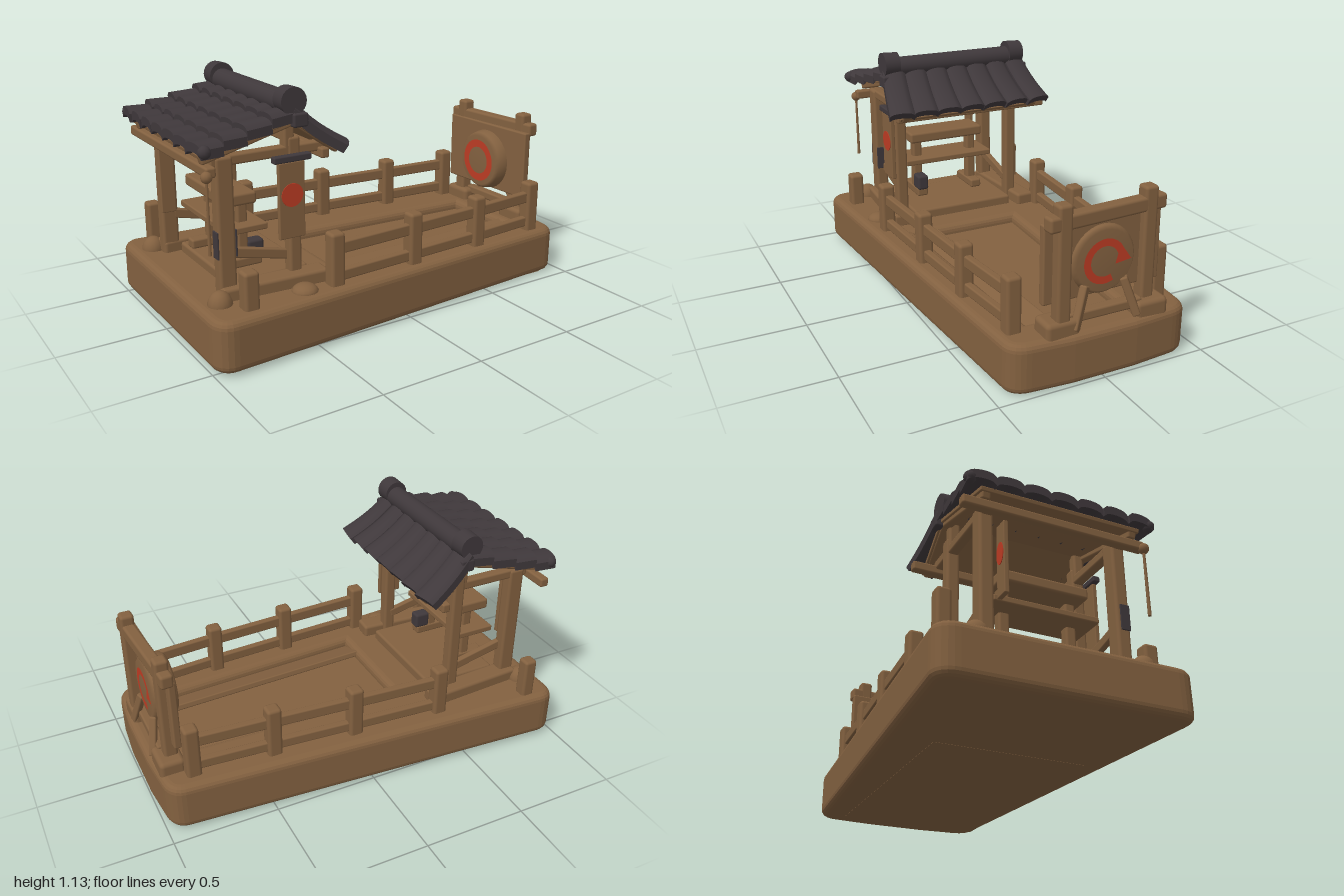
import * as THREE from 'three';
import { RoundedBoxGeometry } from 'three/addons/geometries/RoundedBoxGeometry.js';

export function createModel() {
  const group = new THREE.Group();
  const mat = (name, color) => {
    const m = new THREE.MeshStandardMaterial({ color });
    m.name = name;
    return m;
  };
  const wood = mat('wood', 0x836140);
  const slate = mat('slate', 0x3f383b);
  const red = mat('redPaint', 0xbd3c24);
  red.side = THREE.DoubleSide;

  const add = (name, geo, m, x = 0, y = 0, z = 0) => {
    const mesh = new THREE.Mesh(geo, m);
    mesh.name = name;
    mesh.position.set(x, y, z);
    group.add(mesh);
    return mesh;
  };
  const box = (name, m, w, h, d, x, y, z) =>
    add(name, new RoundedBoxGeometry(w, h, d, 2, Math.min(w, h, d) * 0.22), m, x, y, z);
  // Lay a mesh whose length runs along its z axis between two points
  const span = (mesh, a, b) => {
    const q = new THREE.Vector3(...b);
    mesh.position.set(...a).add(q).multiplyScalar(0.5);
    mesh.lookAt(q);
    return mesh;
  };
  const dist = (a, b) => new THREE.Vector3(...a).distanceTo(new THREE.Vector3(...b));
  const beam = (name, m, a, b, w, h) => span(box(name, m, w, h, dist(a, b), 0, 0, 0), a, b);

  // Tapered base slab with a sunken deck
  const bev = 0.035;
  const outline = new THREE.Shape();
  outline.moveTo(-0.91, -0.54);
  outline.lineTo(0.9, -0.405);
  outline.quadraticCurveTo(0.945, -0.40, 0.95, -0.34);
  outline.lineTo(0.965, -0.15);
  outline.lineTo(0.965, 0.15);
  outline.lineTo(0.95, 0.34);
  outline.quadraticCurveTo(0.945, 0.40, 0.9, 0.405);
  outline.lineTo(-0.91, 0.54);
  outline.quadraticCurveTo(-0.965, 0.545, -0.965, 0.48);
  outline.lineTo(-0.965, -0.48);
  outline.quadraticCurveTo(-0.965, -0.545, -0.91, -0.54);
  const well = new THREE.Path();
  [[-0.3, -0.37], [-0.3, 0.25], [0.84, 0.21], [0.84, -0.31]].forEach(([x, y], i) =>
    i ? well.lineTo(x, y) : well.moveTo(x, y));
  well.closePath();
  outline.holes.push(well);
  const slab = new THREE.ExtrudeGeometry(outline, {
    depth: 0.232 - 2 * bev, bevelEnabled: true, bevelSize: bev, bevelThickness: bev, bevelSegments: 4, curveSegments: 6,
  });
  slab.rotateX(-Math.PI / 2);
  add('base', slab, wood, 0, 0.012 + bev, 0).rotation.z = -0.007;
  const deck = add('deckFloor', new THREE.BoxGeometry(1.24, 0.186, 0.74), wood, 0.27, 0.102, 0.05);
  deck.rotation.z = -0.007;
  beam('deckSlope', wood, [-0.3, 0.2, 0.29], [0.84, 0.195, 0.24], 0.17, 0.03).rotateZ(0.3);

  // Side railings with square posts
  const rows = { front: [0.45, 0.425, 0.4, 0.365], back: [-0.43, -0.40, -0.37, -0.345] };
  const postX = [-0.38, 0.06, 0.46, 0.84];
  for (const [side, zs] of Object.entries(rows)) {
    zs.forEach((z, i) => {
      box(side + 'RailPost', wood, 0.07, 0.28, 0.07, postX[i], 0.35, z);
      if (i < 3) for (const [y, h] of [[0.412, 0.055], [0.283, 0.05]])
        beam(side + 'Rail', wood, [postX[i], y, z], [postX[i + 1], y, zs[i + 1]], 0.035, h);
    });
  }
  box('frontCornerStub', wood, 0.07, 0.2, 0.07, -0.81, 0.315, 0.475);
  box('backCornerStub', wood, 0.065, 0.23, 0.065, -0.85, 0.33, -0.5);

  // Rounded stones on the rim
  for (const [x, z, r, flat] of [[-0.9, 0.38, 0.055, 1.2], [-0.9, -0.38, 0.055, 1.2], [-0.53, 0.445, 0.06, 0.6]])
    add('stone', new THREE.SphereGeometry(r, 14, 10), wood, x, 0.245, z).scale.y = flat;

  // Shelter posts, sills, braces and gable rafters
  for (const s of [-1, 1]) {
    box('shelterRearPost', wood, 0.08, 0.64, 0.065, -0.84, 0.55, s * 0.318);
    box('shelterFrontPost', wood, 0.06, 0.68, 0.06, -0.515, 0.57, s * 0.318);
    beam('shelterSill', wood, [-0.88, 0.27, s * 0.33], [-0.38, 0.27, s * 0.36], 0.1, 0.07);
    beam('shelterTieBeam', wood, [-0.9, 0.85, s * 0.318], [-0.36, 0.85, s * 0.318], 0.05, 0.045);
    beam('sideBrace', wood, [-0.82, 0.44, s * 0.3], [-0.52, 0.37, s * 0.3], 0.03, 0.045);
    beam('rearRafter', wood, [-0.95, 0.875, s * 0.35], [-0.53, 0.985, s * 0.35], 0.04, 0.045);
    beam('frontRafter', wood, [-0.53, 0.99, s * 0.35], [-0.31, 0.835, s * 0.35], 0.04, 0.045);
    box('kingPost', wood, 0.05, 0.15, 0.05, -0.535, 0.92, s * 0.318);
  }
  beam('rearPurlin', wood, [-0.925, 0.83, -0.455], [-0.925, 0.83, 0.41], 0.045, 0.045);
  beam('frontPurlin', wood, [-0.38, 0.825, -0.45], [-0.38, 0.825, 0.38], 0.04, 0.045);
  add('ropeKnot', new THREE.SphereGeometry(0.025, 10, 8), wood, -0.945, 0.815, 0.405);
  add('rope', new THREE.CylinderGeometry(0.006, 0.008, 0.33, 8), wood, -0.945, 0.65, 0.405);

  // Platform and small bench inside the shelter
  box('platform', wood, 0.38, 0.06, 0.56, -0.61, 0.265, 0);
  box('benchTop', wood, 0.16, 0.055, 0.42, -0.71, 0.625, 0);
  for (const s of [-1, 1]) {
    box('benchLeg', wood, 0.05, 0.32, 0.05, -0.69, 0.46, s * 0.16);
    box('benchFoot', wood, 0.2, 0.045, 0.06, -0.7, 0.325, s * 0.16);
  }
  box('benchShelf', wood, 0.2, 0.03, 0.5, -0.7, 0.5, 0);
  box('darkCloth', slate, 0.08, 0.08, 0.06, -0.63, 0.38, 0.16);
  for (const x of [-0.882, -0.798]) box('postCloth', slate, 0.008, 0.12, 0.045, x, 0.49, 0.325);

  // Hanging banners with red discs: a wide one in front, a narrow one at the rear
  const banner = (x, z, s, w) => {
    box('banner', wood, w, 0.34, 0.022, x, 0.64, z);
    const disc = add('bannerDisc', new THREE.CylinderGeometry(0.052, 0.052, 0.006, 28), red, x, 0.665, z + s * 0.011);
    disc.rotation.x = Math.PI / 2;
    disc.scale.x = w / 0.125;
  };
  banner(-0.545, 0.365, 1, 0.125);
  banner(-0.865, -0.24, -1, 0.07);
  box('bannerRod', slate, 0.18, 0.03, 0.035, -0.54, 0.825, 0.365);

  // Bulged roof tile that widens from w0 to w1 and sags in the middle
  const tile = (name, a, b, w0, w1, sag) => {
    const len = dist(a, b);
    const geo = new THREE.BoxGeometry(1, 0.04, len, 8, 1, 8);
    const p = geo.attributes.position;
    for (let i = 0; i < p.count; i++) {
      const u = p.getX(i), t = p.getZ(i) / len + 0.5;
      p.setX(i, u * (w0 + (w1 - w0) * t));
      p.setY(i, p.getY(i) + 0.022 * Math.sqrt(Math.max(0, 1 - 4 * u * u)) - 0.012 - sag * Math.sin(Math.PI * t));
    }
    geo.computeVertexNormals();
    return span(add(name, geo, slate), a, b);
  };

  // Roof slopes of tile rows that flare towards the eaves
  const tileSlope = (name, path, sag) => {
    const cols = 7, rowsCount = path.length - 1;
    for (let r = 0; r < rowsCount; r++) {
      const [x0, y0] = path[r], [x1, y1] = path[r + 1];
      const h0 = 0.395 + 0.05 * r / rowsCount, h1 = 0.395 + 0.05 * (r + 1) / rowsCount;
      for (let c = 0; c < cols; c++) {
        const k = (2 * c + 1) / cols - 1;
        tile(name, [x0, y0 - 0.012, k * h0 - 0.005], [x1, y1 + 0.01, k * h1 - 0.005], 2 * h0 / cols, 2 * h1 / cols, sag);
      }
    }
  };
  tileSlope('rearTile', [[-0.535, 1.025], [-0.65, 0.993], [-0.77, 0.963], [-0.88, 0.94], [-0.985, 0.918]], 0);
  tileSlope('frontTile', [[-0.525, 1.045], [-0.295, 0.845]], 0.012);
  beam('rearRoofBoard', wood, [-0.96, 0.89, 0], [-0.535, 0.99, 0], 0.76, 0.02);
  beam('frontRoofBoard', wood, [-0.535, 0.99, 0], [-0.32, 0.83, 0], 0.76, 0.02);

  // Ridge roll and its end caps
  const roll = add('ridgeRoll', new THREE.CylinderGeometry(0.05, 0.05, 0.7, 20), slate, -0.535, 1.053, 0);
  roll.rotation.x = Math.PI / 2;
  for (const s of [-1, 1]) {
    const cap = add('ridgeCap', new THREE.CylinderGeometry(0.061, 0.058, 0.08, 20), slate, -0.535, 1.07, s * 0.348);
    cap.rotation.x = Math.PI / 2;
    box('gableTrim', slate, 0.07, 0.06, 0.04, -0.51, 0.99, s * 0.385);
    add('eaveKnob', new THREE.SphereGeometry(0.028, 10, 8), slate, -0.96, 0.925, s * 0.43);
  }

  // Gate at the narrow end, turned slightly
  const gx = (z) => 0.925 + z * 0.07;
  for (const z of [0.19, -0.235]) {
    box('gatePost', wood, 0.065, 0.54, 0.065, gx(z), 0.53, z);
    box('gateFoot', wood, 0.12, 0.1, 0.16, 0.92, 0.25, z * 1.02);
  }
  beam('gateBeam', wood, [gx(-0.315), 0.722, -0.315], [gx(0.265), 0.722, 0.265], 0.06, 0.066);
  beam('gatePanel', wood, [0.885, 0.535, -0.31], [0.905, 0.535, 0.265], 0.035, 0.35);
  beam('gateSill', wood, [0.93, 0.29, -0.2], [0.93, 0.29, 0.17], 0.05, 0.045);
  for (const [z0, z1] of [[0.075, 0.14], [-0.11, -0.165]])
    beam('gateBrace', wood, [0.935, 0.42, z0], [0.97, 0.245, z1], 0.035, 0.035);

  // Barrel drum with painted rings
  const barrel = new THREE.LatheGeometry(
    [[0, -0.06], [0.135, -0.06], [0.15, -0.045], [0.16, 0], [0.15, 0.045], [0.135, 0.06], [0, 0.06]]
      .map(([r, y]) => new THREE.Vector2(r, y)), 32);
  const drum = add('drum', barrel, wood, 0.88, 0.515, -0.015);
  drum.rotation.z = Math.PI / 2;
  const outerRing = add('outerRing', new THREE.RingGeometry(0.067, 0.1, 40, 1, 0, 5.15), red, 0.943, 0.512, -0.012);
  outerRing.rotation.y = Math.PI / 2;
  const tip = new THREE.Shape([[0.05, -0.02], [0.128, -0.01], [0.075, 0.065]].map(([x, y]) => new THREE.Vector2(x, y)));
  const ringTip = add('ringTip', new THREE.ShapeGeometry(tip), red, 0.944, 0.512, -0.012);
  ringTip.rotation.y = Math.PI / 2;
  const innerRing = add('innerRing', new THREE.RingGeometry(0.073, 0.113, 40), red, 0.817, 0.515, -0.015);
  innerRing.rotation.y = -Math.PI / 2;

  return group;
}
